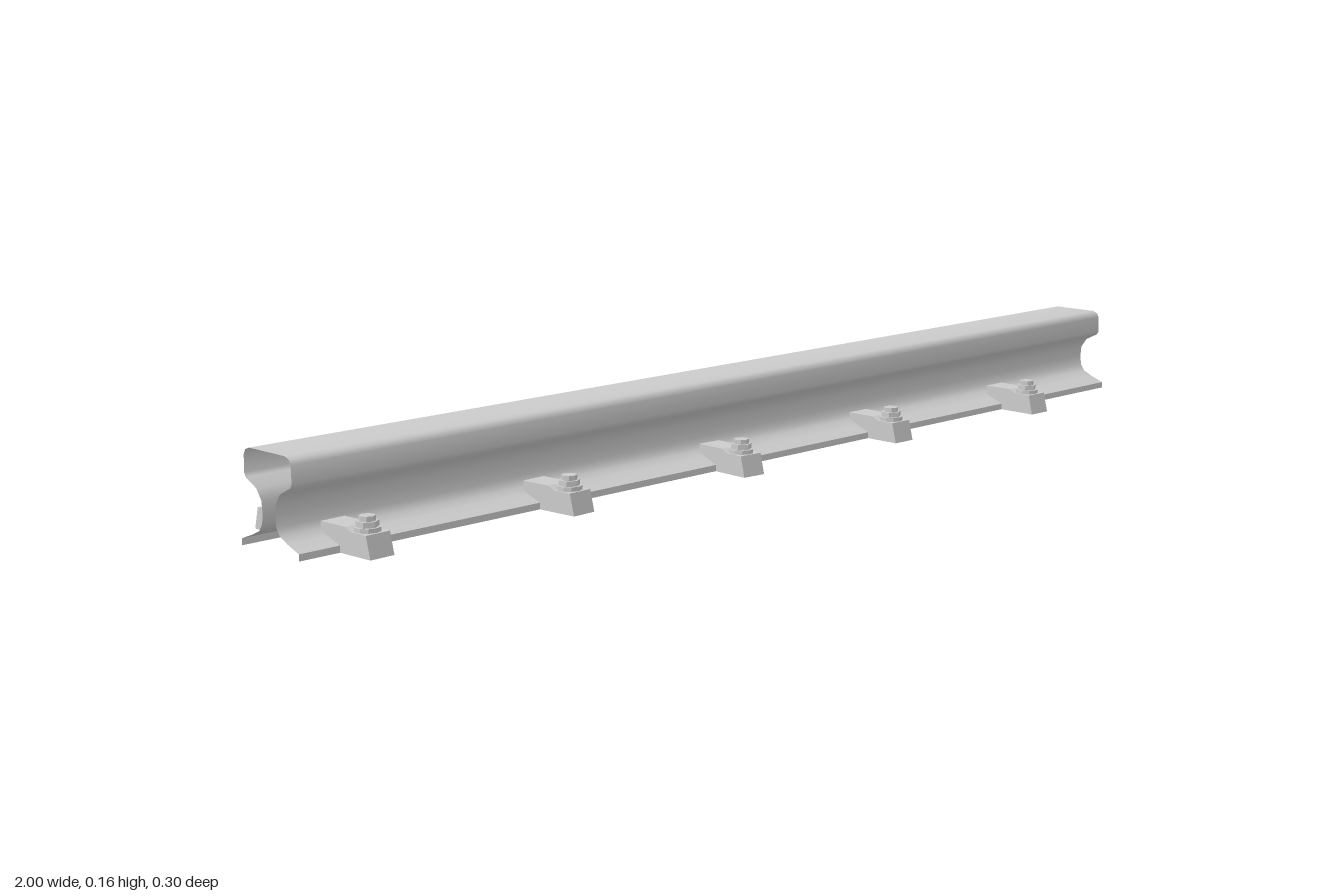
import * as THREE from 'three';
import { toCreasedNormals } from 'three/addons/utils/BufferGeometryUtils.js';

const material = new THREE.MeshStandardMaterial({ color: 0xcccccc, side: THREE.DoubleSide });
const flatMaterial = new THREE.MeshStandardMaterial({ color: 0xcccccc, side: THREE.DoubleSide, flatShading: true });

// Rail: an open shell swept along x, without end caps or underside
function railGeometry() {
  const half = [
    [0.072, 0], [0.072, 0.011], [0.045, 0.021], [0.026, 0.03], [0.018, 0.042],
    [0.016, 0.06], [0.018, 0.078], [0.03, 0.095], [0.056, 0.108], [0.06, 0.115],
    [0.059, 0.143], [0.055, 0.151], [0.045, 0.155],
  ];
  const profile = [...half, ...half.slice().reverse().map(([z, y]) => [-z, y])];
  const positions = [];
  const index = [];
  profile.forEach(([z, y], i) => {
    positions.push(-1, y, z, 1, y, z);
    if (i === 0) return;
    const a = 2 * (i - 1);
    index.push(a, a + 1, a + 3, a, a + 3, a + 2);
  });
  const geometry = new THREE.BufferGeometry();
  geometry.setAttribute('position', new THREE.Float32BufferAttribute(positions, 3));
  geometry.setIndex(index);
  return toCreasedNormals(geometry, 1.0);
}

// Clip body: side profile extruded across the width, open underneath.
// Local z = 0 is the outer toe; the clip reaches inwards along -z.
function clipGeometry() {
  const width = 0.046;
  const shape = new THREE.Shape([
    [0, 0], [-0.009, 0.036], [-0.045, 0.036], [-0.057, 0.042], [-0.115, 0.042], [-0.115, 0],
  ].map(([z, y]) => new THREE.Vector2(-z, y)));
  const solid = new THREE.ExtrudeGeometry(shape, { depth: width, bevelEnabled: false });
  solid.translate(0, 0, -width / 2);
  solid.rotateY(Math.PI / 2);
  const p = solid.attributes.position;
  const kept = [];
  for (let i = 0; i < p.count; i += 3) {
    const onGround = [0, 1, 2].every((k) => p.getY(i + k) < 1e-6);
    if (onGround) continue;
    for (let k = 0; k < 3; k++) kept.push(p.getX(i + k), p.getY(i + k), p.getZ(i + k));
  }
  const geometry = new THREE.BufferGeometry();
  geometry.setAttribute('position', new THREE.Float32BufferAttribute(kept, 3));
  geometry.computeVertexNormals();
  return geometry;
}

export function createModel() {
  const model = new THREE.Group();
  model.name = 'railSection';

  const rail = new THREE.Mesh(railGeometry(), material);
  rail.name = 'rail';
  model.add(rail);

  const body = clipGeometry();
  // Bolt stack: radius, bottom, top, sides
  const stack = [
    ['washer', 0.021, 0.035, 0.043, 10],
    ['nut', 0.018, 0.043, 0.052, 6],
    ['boltEnd', 0.013, 0.052, 0.06, 8],
  ].map(([name, r, y0, y1, sides]) => {
    const geometry = new THREE.CylinderGeometry(r, r, y1 - y0, sides);
    geometry.translate(0, (y0 + y1) / 2, -0.033);
    return [name, geometry];
  });

  function addClip(x, toe, yaw, side) {
    const clip = new THREE.Group();
    clip.name = side > 0 ? 'frontClip' : 'backClip';
    const plate = new THREE.Mesh(body, flatMaterial);
    plate.name = 'clipBody';
    clip.add(plate);
    for (const [name, geometry] of stack) {
      const part = new THREE.Mesh(geometry, flatMaterial);
      part.name = name;
      clip.add(part);
    }
    clip.position.set(x, 0, side * toe);
    clip.rotation.y = (side > 0 ? 0 : Math.PI) + yaw;
    model.add(clip);
  }

  // Slightly uneven placement: x, front toe, front yaw, back toe, back yaw
  const places = [
    [-0.9, 0.142, 0.03, 0.147, -0.02],
    [-0.5, 0.148, 0.05, 0.149, 0.06],
    [-0.105, 0.146, -0.06, 0.141, -0.08],
    [0.297, 0.14, -0.02, 0.137, 0.04],
    [0.69, 0.149, -0.03, 0.146, -0.06],
  ];
  for (const [x, frontToe, frontYaw, backToe, backYaw] of places) {
    addClip(x, frontToe, frontYaw, 1);
    addClip(x, backToe, backYaw, -1);
  }
  return model;
}
